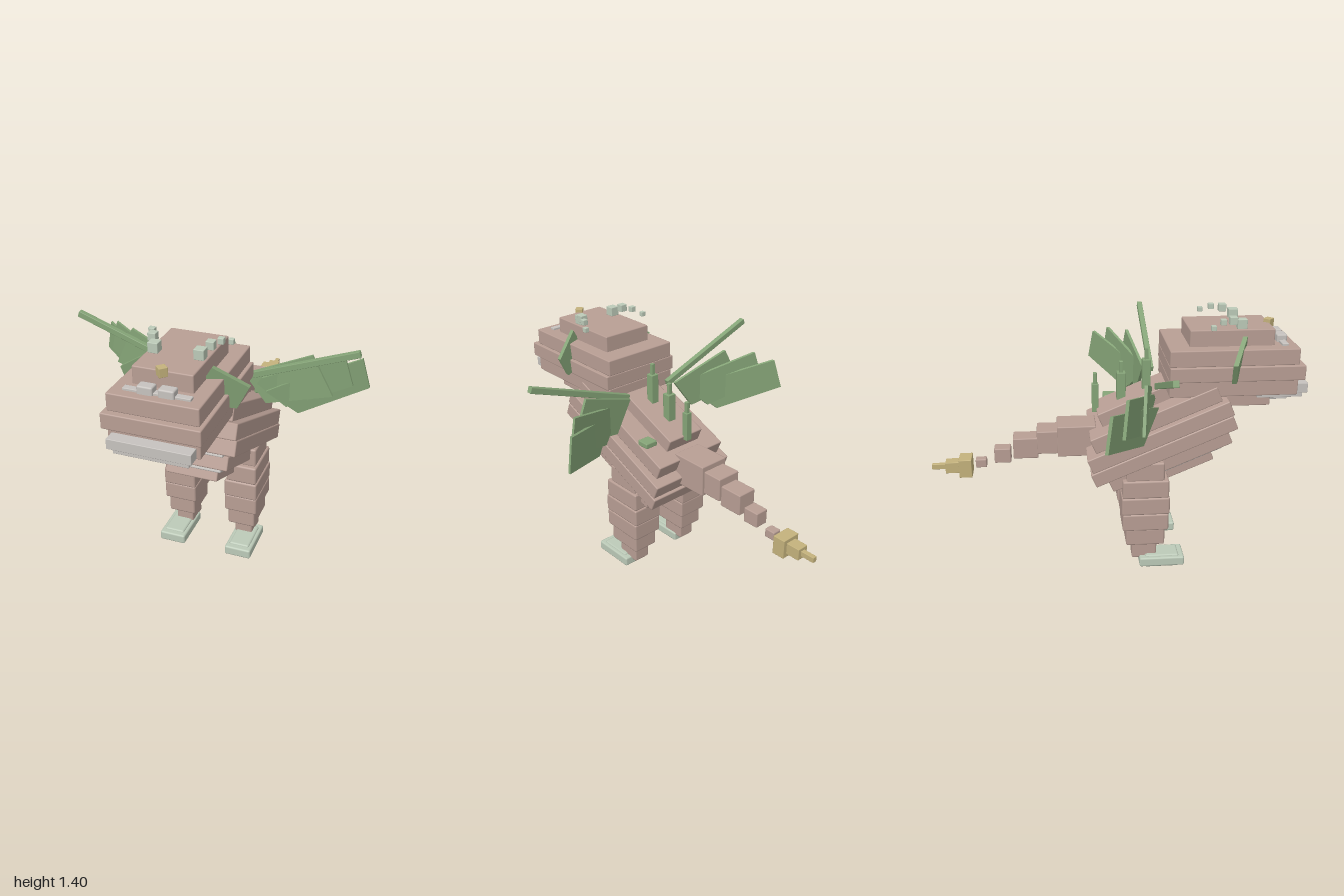
import * as THREE from 'three';
import { RoundedBoxGeometry } from 'three/addons/geometries/RoundedBoxGeometry.js';

const mat = (name, color, side = THREE.FrontSide) => {
  const m = new THREE.MeshStandardMaterial({ color, side });
  m.name = name;
  return m;
};

export function createModel() {
  const root = new THREE.Group();
  root.name = 'blockCreature';
  const hide = mat('hide brown', 0xb89e94);
  const green = mat('wing green', 0x86a578, THREE.DoubleSide);
  const mint = mat('claw mint', 0xbccab8);
  const gold = mat('horn gold', 0xc4b27c);
  const pale = mat('tooth grey', 0xc6c2be);

  const group = (name) => {
    const g = new THREE.Group();
    g.name = name;
    root.add(g);
    return g;
  };
  // Box given by its limits on each axis, with a small chamfer
  const block = (parent, name, m, [x0, x1], [y0, y1], [z0, z1], bevel = 0.006) => {
    const w = x1 - x0, h = y1 - y0, d = z1 - z0;
    const r = Math.min(bevel, Math.min(w, h, d) * 0.2);
    const mesh = new THREE.Mesh(new RoundedBoxGeometry(w, h, d, 1, r), m);
    mesh.position.set((x0 + x1) / 2, (y0 + y1) / 2, (z0 + z1) / 2);
    mesh.name = name;
    parent.add(mesh);
    return mesh;
  };
  const cube = (parent, name, m, x, y, z, s) =>
    block(parent, name, m, [x - s / 2, x + s / 2], [y - s / 2, y + s / 2], [z - s / 2, z + s / 2], 0.003);

  // Thin plate drawn in x and y, slanted in z by a rule
  const plate = (parent, name, side, points, thick, zRule) => {
    const shape = new THREE.Shape(points.map(([x, y]) => new THREE.Vector2(x * side, y)));
    const geo = new THREE.ExtrudeGeometry(shape, { depth: thick, bevelEnabled: false });
    const p = geo.attributes.position;
    for (let i = 0; i < p.count; i++)
      p.setZ(i, p.getZ(i) - thick / 2 + zRule(Math.abs(p.getX(i)), p.getY(i)));
    geo.computeVertexNormals();
    const mesh = new THREE.Mesh(geo, green);
    mesh.name = name;
    parent.add(mesh);
  };

  // Body: stacked slabs, sloping down to the back [half width, height range, length range]
  const body = group('body');
  body.rotation.x = -0.4;
  [
    [0.115, [0.755, 0.84], [0.25, 0.78]],
    [0.225, [0.68, 0.765], [0.17, 0.885]],
    [0.262, [0.597, 0.68], [0.115, 0.915]],
    [0.265, [0.518, 0.597], [0.1, 0.905]],
    [0.22, [0.433, 0.505], [0.165, 0.853]],
    [0.138, [0.345, 0.412], [0.28, 0.73]],
  ].forEach(([w, y, z]) => block(body, 'bodySlab', hide, [-w, w], y, z));
  block(body, 'chestStrip', pale, [-0.195, 0.195], [0.5, 0.522], [0.15, 0.873]);
  block(body, 'bellyPlate', pale, [-0.17, 0.17], [0.405, 0.438], [0.22, 0.79]);

  // Head: stacked slabs
  const head = group('head');
  [
    [0.145, [1.235, 1.328], [0.38, 0.82]],
    [0.217, [1.155, 1.242], [0.27, 0.94]],
    [0.235, [1.078, 1.157], [0.27, 0.972]],
    [0.22, [0.995, 1.08], [0.27, 0.94]],
    [0.145, [0.912, 1.0], [0.38, 0.82]],
  ].forEach(([w, y, z]) => block(head, 'headSlab', hide, [-w, w], y, z));
  [
    [0.2, [0.998, 1.05], [0.78, 1.0]],
    [0.18, [0.968, 1.0], [0.74, 0.98]],
    [0.125, [0.938, 0.97], [0.7, 0.915]],
  ].forEach(([w, y, z]) => block(head, 'teeth', pale, [-w, w], y, z, 0.003));
  block(head, 'browBar', pale, [-0.16, 0.16], [1.225, 1.253], [0.858, 0.892], 0.003);
  block(head, 'foreheadGem', gold, [-0.021, 0.021], [1.303, 1.348], [0.799, 0.841], 0.003)
    .rotation.y = Math.PI / 4;

  // Tail: shrinking blocks with a golden tip [half width, height range, length range]
  const tail = group('tail');
  [
    [0.085, [0.622, 0.795], [-0.31, -0.1]],
    [0.07, [0.635, 0.765], [-0.42, -0.295]],
    [0.055, [0.605, 0.722], [-0.55, -0.415]],
    [0.038, [0.575, 0.658], [-0.655, -0.565]],
    [0.025, [0.545, 0.593], [-0.76, -0.7]],
  ].forEach(([w, y, z]) => block(tail, 'tailBlock', hide, [-w, w], y, z));
  [
    [0.053, [0.5, 0.603], [-0.85, -0.78]],
    [0.032, [0.52, 0.583], [-0.925, -0.845]],
    [0.013, [0.537, 0.567], [-1.0, -0.92]],
  ].forEach(([w, y, z]) => block(tail, 'tailTip', gold, [-w, w], y, z, 0.003));

  // Back spikes: thick base with a thin stem
  const spikes = group('backSpikes');
  [[0.175, 0.93, 1.2, 0.045], [0.04, 0.9, 1.13, 0.048], [-0.1, 0.85, 1.07, 0.035]].forEach(([z, y0, y1, s]) => {
    block(spikes, 'spikeBase', green, [-s / 2, s / 2], [y0, y1 - 0.06], [z - s / 2, z + s / 2], 0.003);
    block(spikes, 'spikeStem', green, [-0.01, 0.01], [y1 - 0.07, y1], [z - 0.01, z + 0.01], 0.002);
  });
  block(spikes, 'backScale', green, [0.163, 0.235], [0.85, 0.88], [-0.046, 0.026]);

  for (const s of [1, -1]) {
    const side = s > 0 ? 'left' : 'right';
    const span = (a, b) => (s > 0 ? [a, b] : [-b, -a]);

    // Leg [inner x, outer x, height range, length range]
    const leg = group(side + 'Leg');
    [
      [0.105, 0.25, [0.535, 0.64], [0.05, 0.255]],
      [0.095, 0.26, [0.437, 0.54], [0.03, 0.28]],
      [0.085, 0.265, [0.34, 0.44], [0.025, 0.285]],
      [0.085, 0.265, [0.243, 0.342], [0.03, 0.28]],
      [0.1, 0.25, [0.145, 0.245], [0.05, 0.262]],
      [0.127, 0.225, [0.05, 0.148], [0.085, 0.222]],
    ].forEach(([a, b, y, z]) => block(leg, 'legBlock', hide, span(a, b), y, z, 0.01));
    block(leg, 'footSole', mint, span(0.118, 0.265), [0.013, 0.067], [0.125, 0.375], 0.01);
    block(leg, 'footTop', mint, span(0.135, 0.248), [0, 0.076], [0.157, 0.345], 0.01);

    // Eye, small horn cubes and ear
    block(head, side + 'Eye', pale, span(0.012, 0.088), [1.225, 1.28], [0.848, 0.902], 0.008);
    [
      [0.11, 1.352, 0.65, 0.05],
      [0.14, 1.376, 0.598, 0.04],
      [0.168, 1.376, 0.542, 0.03],
      [0.198, 1.354, 0.488, 0.026],
    ].forEach(([x, y, z, size]) => cube(head, side + 'HornCube', mint, s * x, y, z, size));
    plate(head, side + 'Ear', s, [[0.32, 1.19], [0.17, 1.3], [0.11, 1.2], [0.15, 1.1], [0.265, 1.08]],
      0.025, (x, y) => 0.62 - 0.42 * (x - 0.23) + 0.12 * (y - 1.19));

    // Wing: straight spar and three fanned panels
    const wing = group(side + 'Wing');
    const spar = block(wing, 'wingSpar', green, [-0.32, 0.32], [-0.016, 0.016], [-0.015, 0.015], 0.003);
    spar.position.set(s * 0.44, 1.145, 0.217);
    spar.rotation.z = s * 0.355;
    plate(wing, 'outerPanel', s, [[0.71, 1.1], [0.753, 0.93], [0.43, 0.825], [0.28, 0.97], [0.36, 1.0]],
      0.016, (x) => 0.14 - 0.62 * (x - 0.38));
    plate(wing, 'middlePanel', s, [[0.63, 1.145], [0.68, 0.97], [0.37, 0.86], [0.23, 1.0], [0.25, 1.03]],
      0.016, (x) => 0.175 - 0.43 * (x - 0.26));
    plate(wing, 'innerPanel', s, [[0.49, 1.165], [0.6, 0.945], [0.27, 0.88], [0.16, 1.04]],
      0.016, (x) => 0.175 - 0.19 * (x - 0.18));
  }
  return root;
}
